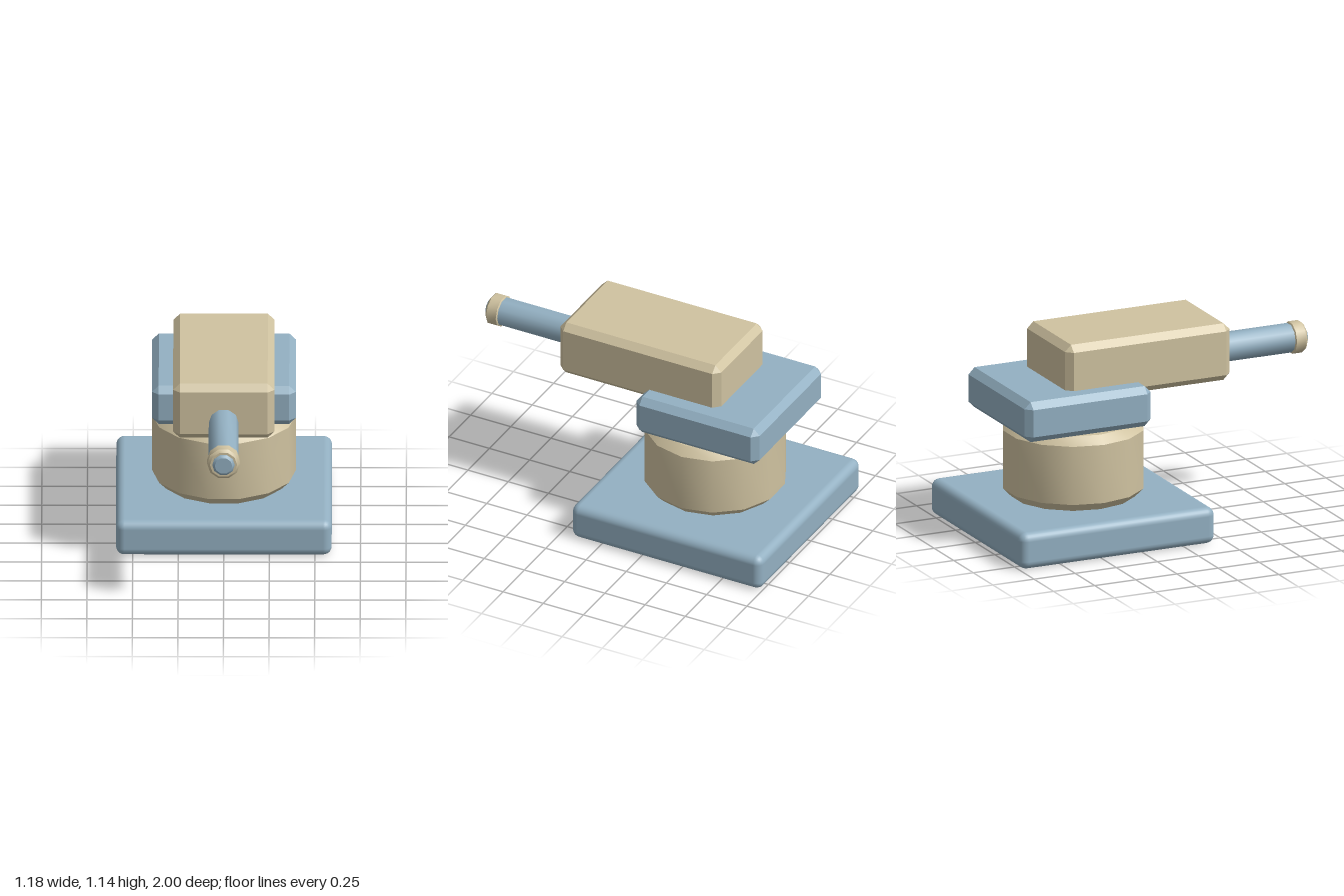
import * as THREE from 'three';
import { toCreasedNormals } from 'three/addons/utils/BufferGeometryUtils.js';
import { RoundedBoxGeometry } from 'three/addons/geometries/RoundedBoxGeometry.js';
import { ConvexGeometry } from 'three/addons/geometries/ConvexGeometry.js';

// Box with flat bevels along every edge and a triangle at every corner
function bevelBox(w, h, d, c) {
  const pts = [];
  for (const sx of [-1, 1]) for (const sy of [-1, 1]) for (const sz of [-1, 1]) {
    const x = w / 2, y = h / 2, z = d / 2;
    pts.push(
      new THREE.Vector3(sx * x, sy * (y - c), sz * (z - c)),
      new THREE.Vector3(sx * (x - c), sy * y, sz * (z - c)),
      new THREE.Vector3(sx * (x - c), sy * (y - c), sz * z));
  }
  return new ConvexGeometry(pts);
}

// Turned solid from [radius, height] pairs, with a corner on the x axis
function turned(profile, sides) {
  const pts = profile.map(([r, y]) => new THREE.Vector2(r, y));
  return toCreasedNormals(new THREE.LatheGeometry(pts, sides, Math.PI / 2), 0.7);
}

export function createModel() {
  const model = new THREE.Group();
  model.name = 'turret';
  const blue = new THREE.MeshStandardMaterial({ color: 0x93b0c2 });
  blue.name = 'steel blue';
  const tan = new THREE.MeshStandardMaterial({ color: 0xcfc2a0 });
  tan.name = 'sand';

  const add = (name, geometry, material, x, y, z) => {
    const mesh = new THREE.Mesh(geometry, material);
    mesh.name = name;
    mesh.position.set(x, y, z);
    model.add(mesh);
  };

  // Base and pedestal
  add('basePlate', new RoundedBoxGeometry(1.184, 0.208, 1.184, 3, 0.047), blue, 0, 0.104, -0.408);
  add('pedestal', turned([[0, 0.21], [0.348, 0.21], [0.395, 0.258],
    [0.395, 0.592], [0.348, 0.638], [0, 0.638]], 14), tan, 0, 0, -0.405);

  // Swivel plate and gun housing
  add('swivelPlate', bevelBox(0.79, 0.23, 0.766, 0.037), blue, 0, 0.77, -0.488);
  add('housing', bevelBox(0.556, 0.325, 1.0, 0.037), tan, 0, 0.979, -0.07);

  // Barrel, muzzle ring and tip, turned to point forward
  const forward = (profile) => turned(profile, 10).rotateX(Math.PI / 2);
  add('barrel', forward([[0, 0.4], [0.082, 0.4], [0.082, 0.93], [0, 0.93]]), blue, 0, 0.922, 0);
  add('muzzleRing', forward([[0, 0.905], [0.078, 0.905], [0.09, 0.913], [0.09, 0.972],
    [0.075, 0.985], [0, 0.985]]), tan, 0, 0.922, 0);
  add('muzzleTip', forward([[0, 0.97], [0.062, 0.97], [0.062, 0.988],
    [0.048, 1.0], [0, 1.0]]), blue, 0, 0.922, 0);

  return model;
}
